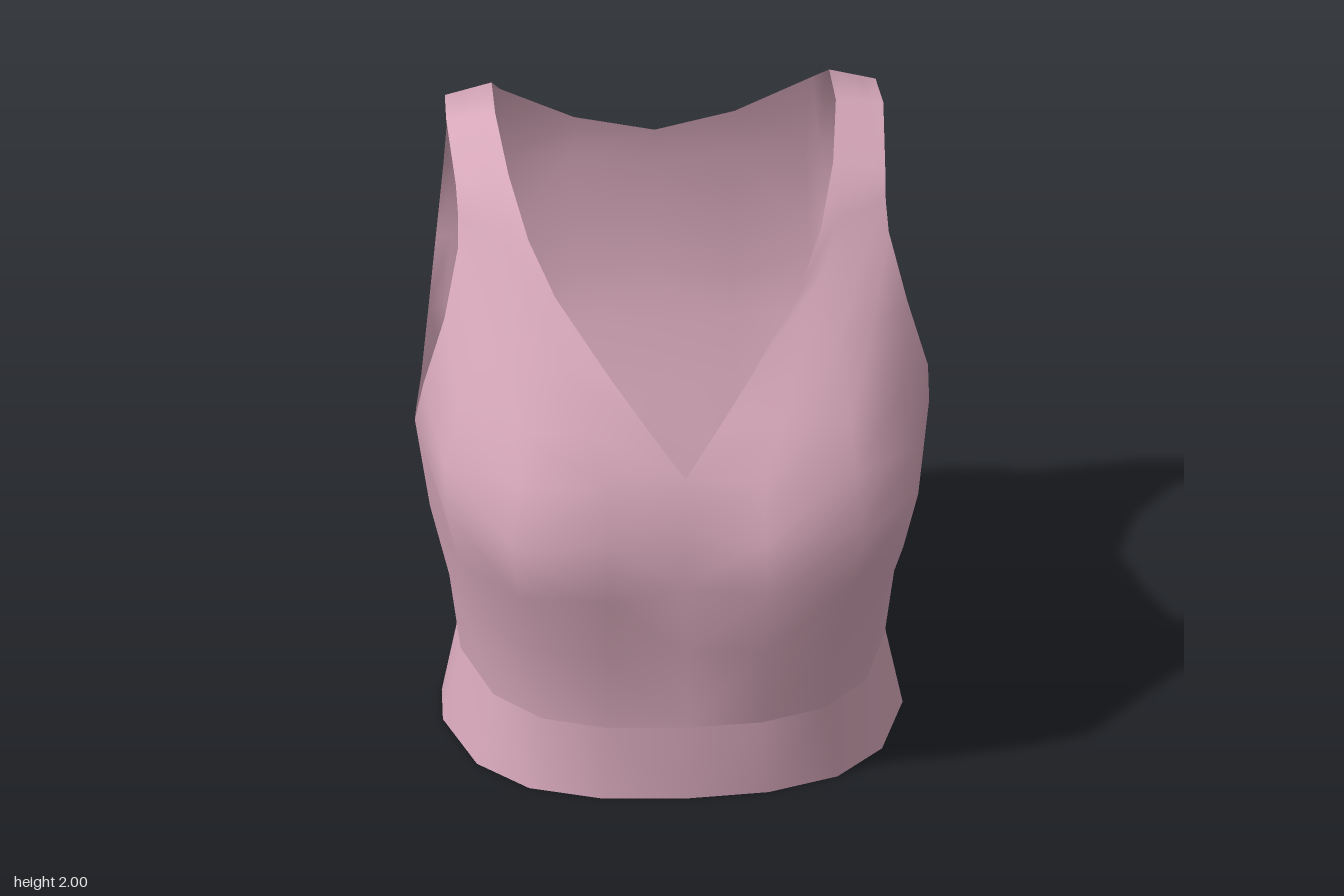
import * as THREE from 'three';
import { mergeVertices } from 'three/addons/utils/BufferGeometryUtils.js';

const material = new THREE.MeshStandardMaterial({ color: 0xd8a9bb, roughness: 0.9, side: THREE.DoubleSide });

// Evenly spaced points from a to b, both included.
const split = (a, b, n = 4) => Array.from({ length: n + 1 }, (_, i) =>
  a.map((v, k) => +(v + (b[k] - v) * i / n).toFixed(5)));

// A row of points; [x, z] pairs take the row height, [x, y, z] keep their own.
const row = (y, pts) => pts.map(p => (p.length === 3 ? p : [p[0], y, p[1]]));

// Widen the outer back segment to the same number of cells as the strap.
const splitBack = (r, at) => [...r.slice(0, at), ...split(r[at], r[at + 1]), ...r.slice(at + 2)];

// Sew grids of points for the left half, mirror them and weld everything smooth.
function sew(name, grids) {
  const pos = [];
  const tri = (a, b, c) => {
    const same = (p, q) => p.every((v, i) => v === q[i]);
    if (same(a, b) || same(b, c) || same(a, c)) return;
    pos.push(...a, ...b, ...c);
    for (const p of [a, c, b]) pos.push(p[0] === 0 ? 0 : -p[0], p[1], p[2]);
  };
  for (const g of grids) {
    for (let i = 0; i + 1 < g.length; i++) {
      for (let j = 0; j + 1 < g[i].length; j++) {
        tri(g[i][j], g[i][j + 1], g[i + 1][j + 1]);
        tri(g[i][j], g[i + 1][j + 1], g[i + 1][j]);
      }
    }
  }
  let geo = new THREE.BufferGeometry();
  geo.setAttribute('position', new THREE.Float32BufferAttribute(pos, 3));
  geo = mergeVertices(geo, 1e-4);
  geo.computeVertexNormals();
  const mesh = new THREE.Mesh(geo, material);
  mesh.name = name;
  return mesh;
}

export function createModel() {
  // Rows run from the front centre, round the left side, to the back centre.
  const hem = row(0, [[0, 0.62], [0.26, 0.6], [0.48, 0.52], [0.63, 0.36], [0.715, 0.08], [0.705, -0.1],
    [0.65, -0.28], [0.55, -0.37], [0.42, -0.4], [0.22, -0.41], [0, -0.41]]);
  const waist = row(0.255, [[0, 0.62], [0.24, 0.605], [0.44, 0.53], [0.58, 0.37], [0.66, 0.08], [0.655, -0.1],
    [0.61, -0.29], [0.52, -0.38], [0.4, -0.41], [0.22, -0.42], [0, -0.42]]);
  const ribs = row(0.52, [[0, 0.605], [0.24, 0.635], [0.47, 0.57], [0.62, 0.39], [0.695, 0.08], [0.68, -0.13],
    [0.635, -0.34], [0.55, -0.45], [0.42, -0.5], [0.22, -0.51], [0, -0.49]]);
  const underBust = row(0.77, [[0, 0.635], [0.25, 0.715], [0.52, 0.665], [0.69, 0.44], [0.755, 0.08], [0.735, -0.15],
    [0.69, -0.39], [0.62, -0.53], [0.47, -0.6], [0.24, -0.61], [0, -0.585]]);
  // The side points of this row are the lower rim of the armhole.
  const armpitFront = [0.8, 1.065, 0.05], armpitBack = [0.71, 1.085, -0.59];
  const bust = row(0.97, [[0, 0.62], [0.24, 0.715], [0.55, 0.685], [0.735, 0.46], armpitFront, [0.78, 0.985, -0.16],
    [0.745, 0.945, -0.42], armpitBack, [0.49, -0.665], [0.25, -0.67], [0, -0.645]]);

  // Front panel from the bust up along the V neck, neckline to armhole.
  const front = [
    bust.slice(0, 5),
    row(1.14, [[0, 0.605], [0.24, 0.645], [0.53, 0.61], [0.735, 1.1, 0.4], armpitFront]),
    row(1.28, [[0.11, 0.535], [0.3, 0.55], [0.52, 0.515], [0.69, 0.37], [0.785, 0.2]]),
    [[0.22, 1.42, 0.455], [0.36, 1.44, 0.43], [0.49, 1.46, 0.375], [0.61, 1.49, 0.3], [0.72, 1.52, 0.21]],
  ];
  // Shoulder strap, given by its neck edge and its armhole edge.
  const strapEdges = [
    [[0.38, 1.62, 0.28], [0.67, 1.71, 0.105]],
    [[0.455, 1.76, 0.16], [0.665, 1.79, 0.05]],
    [[0.505, 1.905, 0], [0.668, 1.87, -0.01]],
    [[0.53, 2, -0.22], [0.68, 1.965, -0.25]],
    [[0.525, 1.985, -0.43], [0.67, 1.94, -0.44]],
    [[0.485, 1.845, -0.625], [0.65, 1.8, -0.58]],
  ];
  const strap = [front[3], ...strapEdges.map(([a, b]) => split(a, b))];

  // Back panel, armhole to back centre.
  const back = [
    bust.slice(7),
    row(1.1, [armpitBack, [0.49, -0.695], [0.25, -0.7], [0, -0.68]]),
    row(1.29, [[0.68, -0.68], [0.48, -0.715], [0.25, -0.718], [0, -0.7]]),
    row(1.55, [[0.655, -0.69], [0.47, -0.715], [0.25, 1.53, -0.718], [0, 1.5, -0.698]]),
    [[0.65, 1.8, -0.58], [0.485, 1.845, -0.625], [0.25, 1.695, -0.69], [0, 1.65, -0.67]],
  ].map(r => splitBack(r, 0));

  const torso = [waist, ribs, underBust, bust].map(r => splitBack(r, 7));
  const band = [hem, waist].map(r => splitBack(r, 7));

  const group = new THREE.Group();
  group.name = 'sleevelessTop';
  group.add(sew('bodice', [torso, front, strap, back]), sew('waistband', [band]));
  return group;
}
